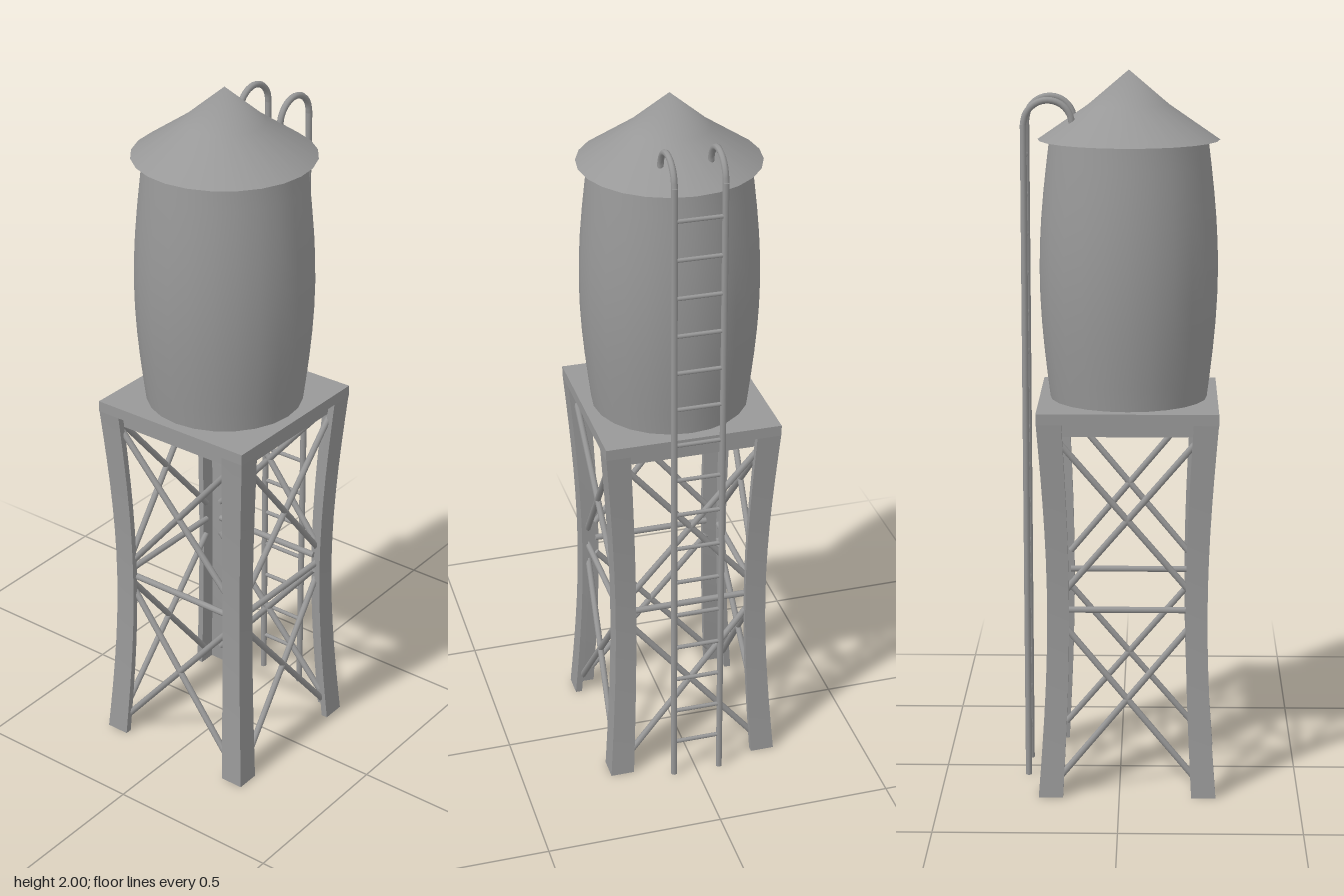
import * as THREE from 'three';
import { toCreasedNormals } from 'three/addons/utils/BufferGeometryUtils.js';

const V = (x, y, z) => new THREE.Vector3(x, y, z);

export function createModel() {
  const model = new THREE.Group();
  model.name = 'waterTower';
  const tower = new THREE.Group();
  tower.name = 'tower';
  tower.position.z = 0.022; // ladder stands behind, so the tower sits forward
  model.add(tower);

  const mat = new THREE.MeshStandardMaterial({ color: 0x989898 });
  const add = (name, geo, parent = tower) => {
    const mesh = new THREE.Mesh(geo, mat);
    mesh.name = name;
    parent.add(mesh);
    return mesh;
  };
  const rod = (name, a, b, r, parent) => {
    const mesh = add(name, new THREE.CylinderGeometry(r, r, a.distanceTo(b), 8), parent);
    mesh.position.copy(a).add(b).multiplyScalar(0.5);
    mesh.quaternion.setFromUnitVectors(V(0, 1, 0), b.clone().sub(a).normalize());
  };
  const lathe = (pts, crease) => {
    const geo = new THREE.LatheGeometry(pts.map(([r, y]) => new THREE.Vector2(r, y)), 24, Math.PI / 2);
    return toCreasedNormals(geo, crease);
  };

  // Barrel tank, bulging at mid height
  const barrel = [[0, 1.09]];
  for (let i = 0; i <= 10; i++) {
    const t = i / 10;
    barrel.push([0.217 + 0.029 * Math.sin(Math.PI * t), 1.09 + 0.725 * t]);
  }
  add('tank', lathe(barrel, 0.6));

  // Flared conical roof with a sharp eave, closed underside and softly shaded tip
  add('roof', lathe([[0, 1.808], [0.249, 1.812], [0.11, 1.907], [0, 2]], 1.5));

  // Deck and the recessed frame under it
  add('deck', new THREE.BoxGeometry(0.495, 0.031, 0.495)).position.y = 1.0825;
  add('deckFrame', new THREE.BoxGeometry(0.448, 0.04, 0.448)).position.y = 1.05;

  // Angle-section legs that curve inward at mid height
  const legTop = 1.068;
  const bow = (y) => Math.sin(Math.PI * y / legTop);
  const outer = (y) => 0.247 - 0.026 * bow(y);
  const width = (y) => 0.068 - 0.008 * bow(y);
  const t = 0.28;
  const angle = new THREE.Shape([[0, 0], [-1, 0], [-1, -t], [-t, -t], [-t, -1], [0, -1]]
    .map(([x, y]) => new THREE.Vector2(x, y)));
  const legGeo = new THREE.ExtrudeGeometry(angle, { depth: legTop, steps: 14, bevelEnabled: false });
  legGeo.rotateX(-Math.PI / 2);
  const p = legGeo.attributes.position;
  for (let i = 0; i < p.count; i++) {
    const y = p.getY(i);
    p.setX(i, outer(y) + p.getX(i) * width(y));
    p.setZ(i, -outer(y) + p.getZ(i) * width(y));
  }
  const leg = toCreasedNormals(legGeo, 0.6);

  // Each side: one leg, two cross braces and a horizontal strut
  for (let k = 0; k < 4; k++) {
    const side = new THREE.Group();
    side.name = 'side' + (k + 1);
    side.rotation.y = k * Math.PI / 2;
    tower.add(side);
    add('leg', leg, side);
    const at = (s, y) => V(s * (outer(y) - width(y) + 0.01), y, outer(y) - 0.02);
    for (const [lo, hi] of [[0.055, 0.485], [0.59, 1.015]]) {
      for (const s of [-1, 1]) rod('crossBrace', at(s, lo), at(-s, hi), 0.009, side);
    }
    rod('strut', at(-1, 0.535), at(1, 0.535), 0.009, side);
  }

  // Ladder with rails hooked over the roof
  const ladder = new THREE.Group();
  ladder.name = 'ladder';
  model.add(ladder);
  const railX = 0.068, railZ = -0.262, hook = 0.066, hookY = 1.857;
  for (const s of [-1, 1]) {
    const x = s * railX;
    rod('ladderRail', V(x, 0, railZ), V(x, hookY, railZ), 0.009, ladder);
    const arc = [];
    for (let i = 0; i <= 8; i++) {
      const a = Math.PI * i / 8;
      arc.push(V(x, hookY + hook * Math.sin(a), railZ + hook * (1 - Math.cos(a))));
    }
    add('ladderHook', new THREE.TubeGeometry(new THREE.CatmullRomCurve3(arc), 16, 0.009, 8), ladder);
    const cap = add('hookEnd', new THREE.CircleGeometry(0.009, 8), ladder);
    cap.position.set(x, hookY, railZ + 2 * hook);
    cap.rotation.x = Math.PI / 2;
  }
  for (let i = 0; i < 16; i++) {
    const y = 0.115 + 0.11 * i;
    rod('rung', V(-railX, y, railZ), V(railX, y, railZ), 0.006, ladder);
  }
  return model;
}
